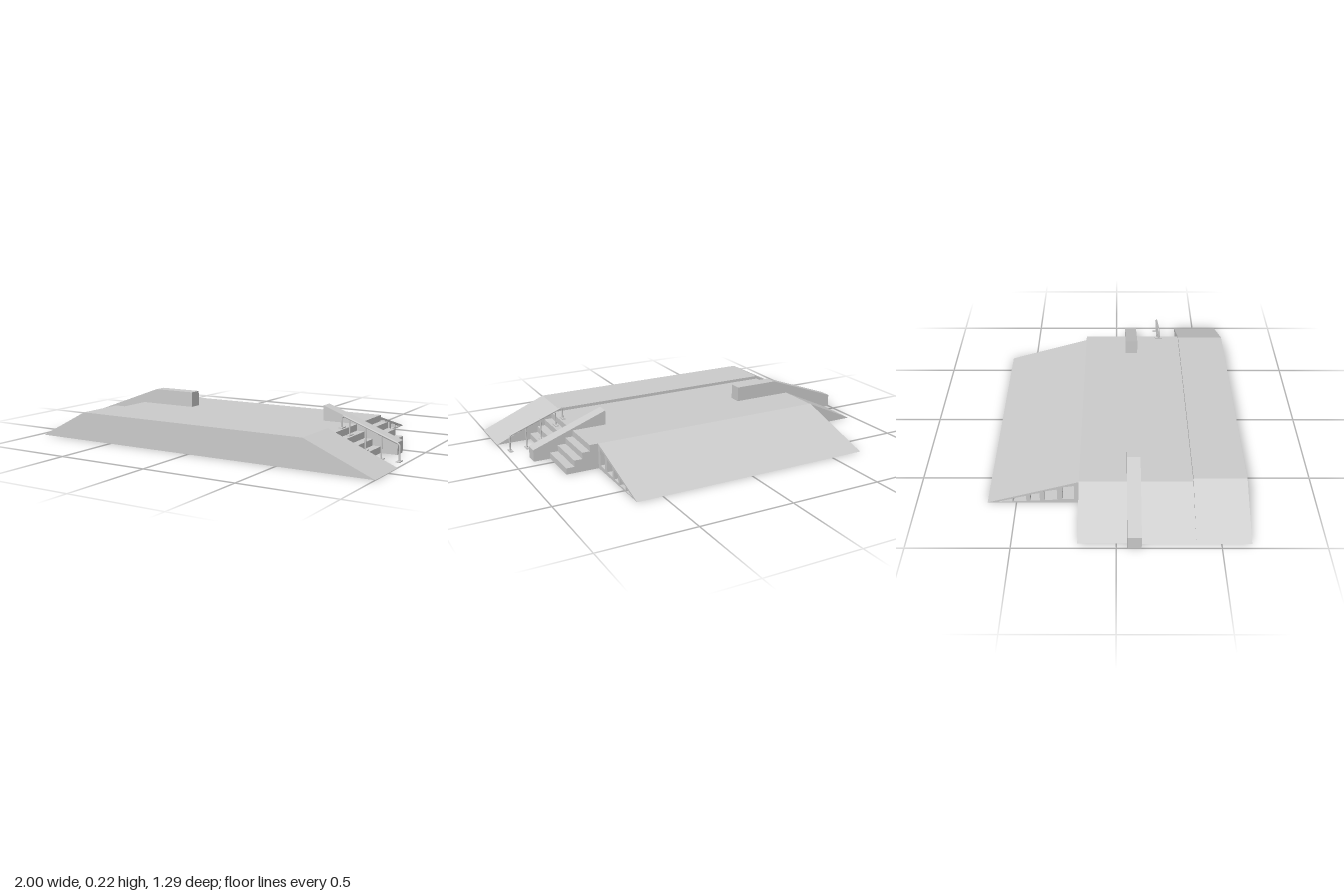
import * as THREE from 'three';

const material = new THREE.MeshStandardMaterial({ color: 0xcccccc, flatShading: true, side: THREE.DoubleSide });
const smooth = new THREE.MeshStandardMaterial({ color: 0xcccccc });

export function createModel() {
  const root = new THREE.Group();
  root.name = 'skateRampPark';

  const add = (name, geometry, parent = root, mat = material) => {
    const mesh = new THREE.Mesh(geometry, mat);
    mesh.name = name;
    parent.add(mesh);
    return mesh;
  };
  const toShape = (points) => new THREE.Shape(points.map(([x, y]) => new THREE.Vector2(x, y)));
  // side profile (x, y) swept from z0 to z1
  const sweep = (points, z0, z1) =>
    new THREE.ExtrudeGeometry(toShape(points), { depth: z1 - z0, bevelEnabled: false }).translate(0, 0, z0);

  // deck with a bank on one end and stairs on the other
  const deckHeight = 0.135;
  const profile = [[-0.97, 0], [-0.68, deckHeight]];
  const stairEdges = [0.68, 0.722, 0.766, 0.81];
  stairEdges.forEach((x, i) => {
    profile.push([x, deckHeight * (1 - i / 4)], [x, deckHeight * (1 - (i + 1) / 4)]);
  });
  add('deckAndStairs', sweep(profile, -0.185, 0.38));

  // raised front bank with a ramp at both ends
  add('frontBank', sweep([[-0.97, 0], [-0.675, 0.152], [0.64, 0.152], [1, 0]], 0.38, 0.645));

  // solid grinding ledges
  add('longLedge', sweep([[-1, 0], [-1, 0.07], [-0.59, 0.218], [-0.34, 0.218], [-0.34, 0]], 0.052, 0.12));
  add('stairLedge', sweep([[0.49, 0], [0.49, 0.215], [0.9, 0.064], [0.9, 0]], 0.055, 0.125));

  // rear ramp: surface, floor and two cut-out side frames
  const rear = new THREE.Group();
  rear.name = 'rearRamp';
  root.add(rear);
  const rampStart = 0.185, rampEnd = 0.645, x0 = -0.685, x1 = 0.635;
  const rampY = (d) => deckHeight * (rampEnd - d) / (rampEnd - rampStart);
  // profile (distance behind centre, y) swept along x
  const across = (shape, from, to) =>
    new THREE.ExtrudeGeometry(shape, { depth: to - from, bevelEnabled: false })
      .rotateY(Math.PI / 2).translate(from, 0, 0);
  add('rampSurface', across(toShape([
    [rampStart, deckHeight], [rampEnd, 0], [rampEnd - 0.025, 0], [rampStart, deckHeight - 0.008],
  ]), x0, x1), rear);
  add('rampFloor', across(toShape([
    [rampStart, 0], [rampEnd, 0], [rampEnd - 0.01, 0.002], [rampStart, 0.002],
  ]), x0, x1), rear);

  const cutouts = [[0.21, 0.268, 0.024], [0.295, 0.36, 0.019], [0.382, 0.43, 0.014],
    [0.45, 0.513, 0.01], [0.522, 0.585, 0.006]];
  const frame = toShape([[rampStart, 0], [rampEnd, 0], [rampStart, deckHeight]]);
  cutouts.forEach(([a, b, low]) => {
    frame.holes.push(new THREE.Path([
      [a, low], [a, rampY(a) - 0.022 + a * 0.02], [b, rampY(b) - 0.01], [b, low - 0.002],
    ].map(([d, y]) => new THREE.Vector2(d, y))));
  });
  for (const from of [x0, x1 - 0.03]) add('sideFrame', across(frame, from, from + 0.03), rear);

  // bent tube handrail beside the stairs
  const handrail = new THREE.Group();
  handrail.name = 'handrail';
  root.add(handrail);
  const z = 0.26, radius = 0.005;
  const v = (x, y) => new THREE.Vector3(x, y, z);
  const railY = (x) => 0.194 - (x - 0.67) * 0.37;
  const path = new THREE.CurvePath();
  path.add(new THREE.LineCurve3(v(0.659, deckHeight), v(0.659, 0.182)));
  path.add(new THREE.QuadraticBezierCurve3(v(0.659, 0.182), v(0.659, 0.199), v(0.675, railY(0.675))));
  path.add(new THREE.LineCurve3(v(0.675, railY(0.675)), v(0.945, railY(0.945))));
  path.add(new THREE.QuadraticBezierCurve3(v(0.945, railY(0.945)), v(0.962, 0.087), v(0.962, 0.07)));
  path.add(new THREE.LineCurve3(v(0.962, 0.07), v(0.962, 0)));
  add('railTube', new THREE.TubeGeometry(path, 80, radius, 8), handrail, smooth);

  // posts with base plates resting on the deck, steps and ground
  const supports = [[0.659, deckHeight], [0.7, 0.101], [0.785, 0.034], [0.869, 0], [0.962, 0]];
  supports.forEach(([x, base], i) => {
    add('basePlate', new THREE.BoxGeometry(0.02, 0.005, 0.045).translate(x, base + 0.0025, z), handrail);
    if (i === 0 || i === supports.length - 1) return;
    const height = railY(x) - base;
    add('railPost', new THREE.CylinderGeometry(0.004, 0.004, height, 8)
      .translate(x, base + height / 2, z), handrail, smooth);
  });

  return root;
}
